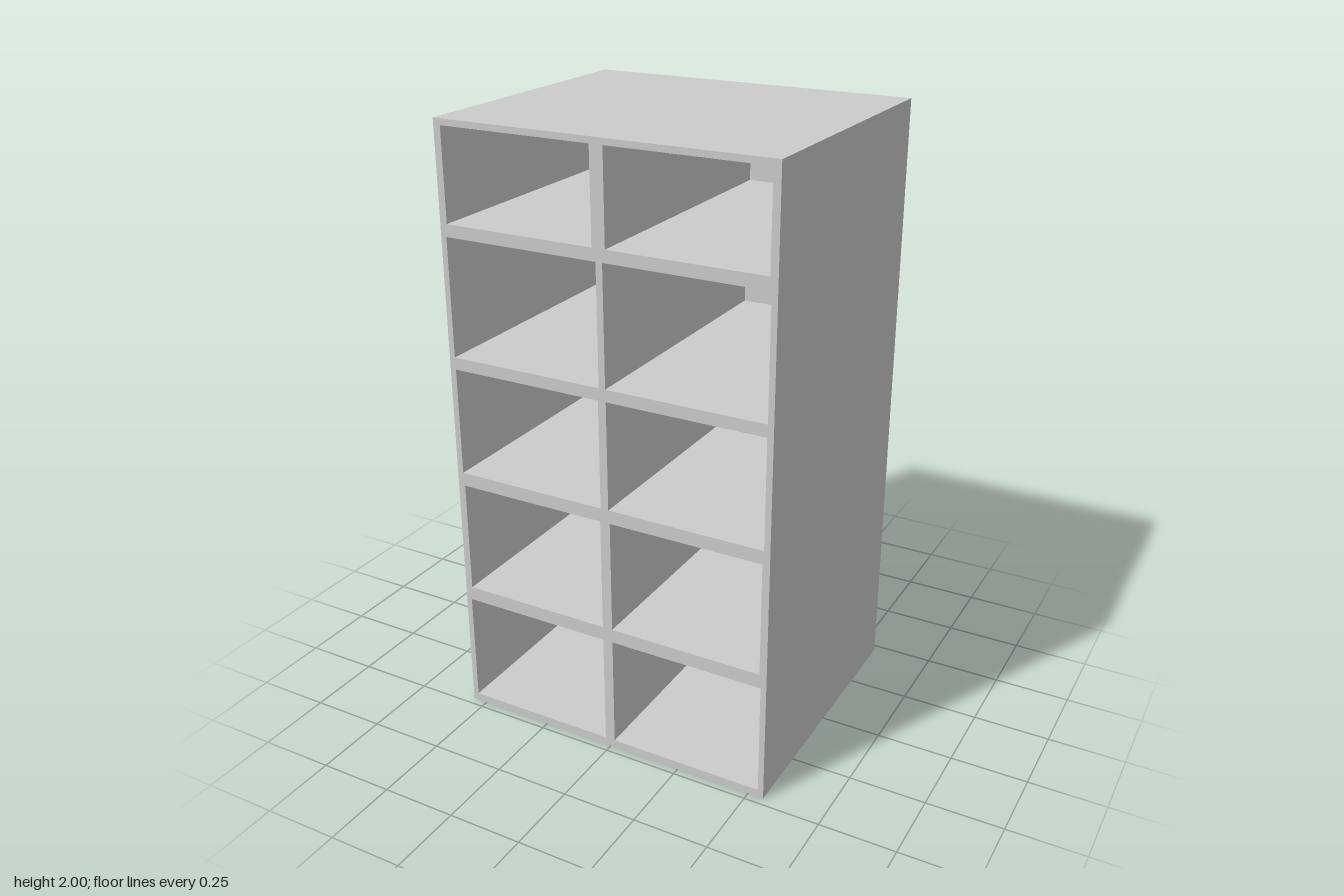
import * as THREE from 'three';

const W = 1.104, H = 2, D = 0.945, BACK = 0.025;

// Compartment rows, bottom to top: [y0, y1, outer x, left-column inner x, right-column inner x]
const ROWS = [
  [0.026, 0.402, 0.533, -0.019, 0.015],
  [0.449, 0.825, 0.528, -0.019, 0.015],
  [0.87, 1.225, 0.532, -0.016, 0.011],
  [1.265, 1.648, 0.533, -0.012, 0.01],
  [1.688, 1.98, 0.528, -0.024, 0.02],
];

function rectangle(Type, x0, y0, x1, y1) {
  return new Type([[x0, y0], [x1, y0], [x1, y1], [x0, y1]].map(([x, y]) => new THREE.Vector2(x, y)));
}

export function createModel() {
  const group = new THREE.Group();
  group.name = 'pigeonholeCabinet';
  const material = new THREE.MeshStandardMaterial({ color: 0xcccccc, flatShading: true });

  // Carcass with two columns of open compartments
  const face = rectangle(THREE.Shape, -W / 2, 0, W / 2, H);
  for (const [y0, y1, outer, left, right] of ROWS) {
    face.holes.push(rectangle(THREE.Path, -outer, y0, left, y1));
    face.holes.push(rectangle(THREE.Path, right, y0, outer, y1));
  }
  const carcass = new THREE.Mesh(
    new THREE.ExtrudeGeometry(face, { depth: D - BACK, bevelEnabled: false }), material);
  carcass.position.z = -D / 2 + BACK;
  carcass.name = 'carcass';
  group.add(carcass);

  // Panel closing the compartments at the rear
  const back = new THREE.Mesh(new THREE.BoxGeometry(W, H, BACK), material);
  back.position.set(0, H / 2, -D / 2 + BACK / 2);
  back.name = 'backPanel';
  group.add(back);

  return group;
}
